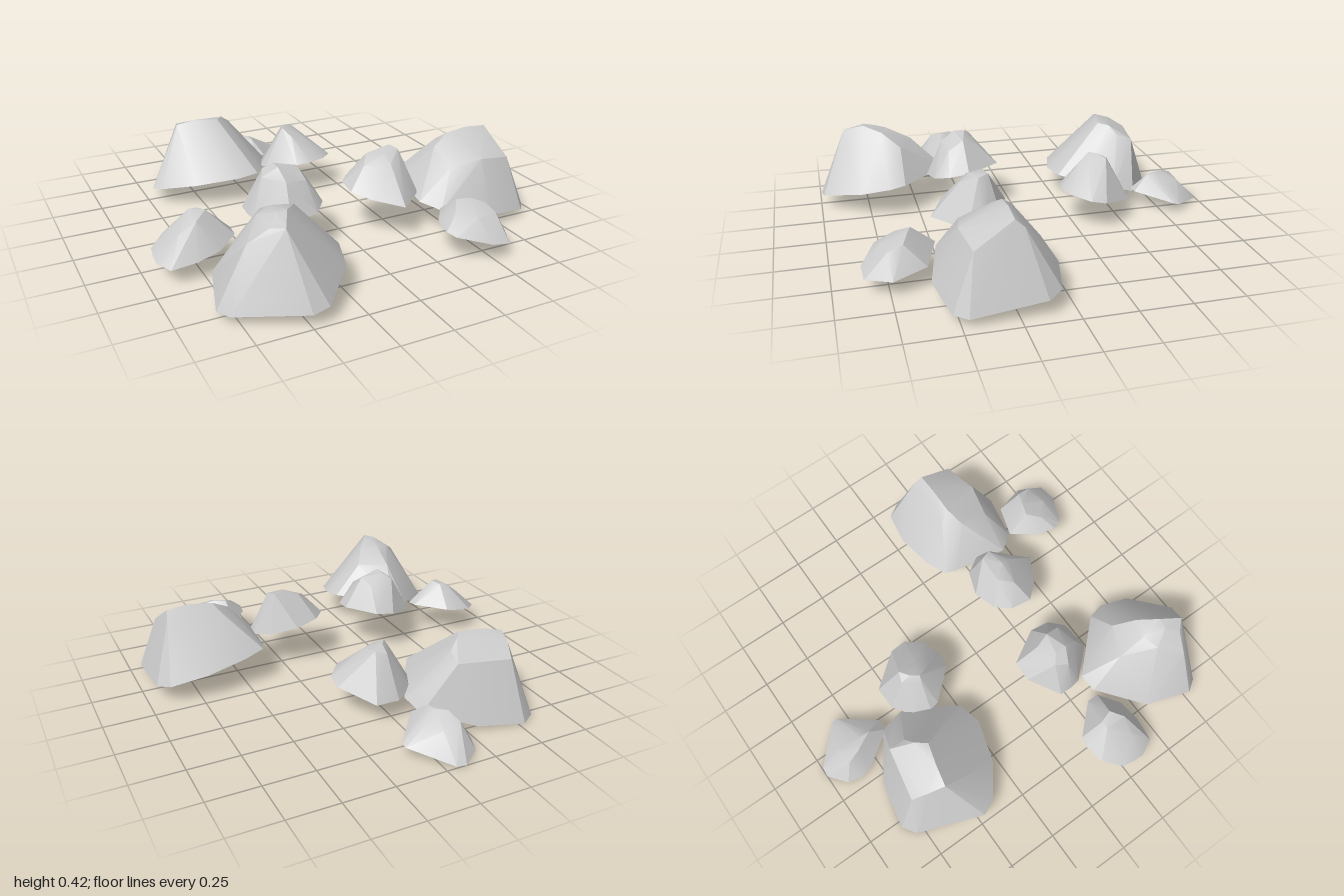
import * as THREE from 'three';
import { ConvexGeometry } from 'three/addons/geometries/ConvexGeometry.js';
import { toCreasedNormals } from 'three/addons/utils/BufferGeometryUtils.js';

// Hollow boulder: a hull over a rim [x, z] on a tilted plane and crown points [x, y, z],
// with the underside left open
function makeRock(name, slope, height, rim, crown) {
  const [bx, bz] = slope;
  const points = rim.map(([x, z]) => new THREE.Vector3(x, height + bx * x + bz * z, z));
  crown.forEach((p) => points.push(new THREE.Vector3(...p)));
  const hull = new ConvexGeometry(points).getAttribute('position');

  const kept = [];
  const tri = new THREE.Triangle();
  const normal = new THREE.Vector3();
  for (let i = 0; i < hull.count; i += 3) {
    tri.setFromAttributeAndIndices(hull, i, i + 1, i + 2);
    tri.getNormal(normal);
    if (normal.y < -0.5) continue; // open underside
    kept.push(...tri.a.toArray(), ...tri.b.toArray(), ...tri.c.toArray());
  }
  const open = new THREE.BufferGeometry();
  open.setAttribute('position', new THREE.Float32BufferAttribute(kept, 3));

  const material = new THREE.MeshStandardMaterial({ color: 0xcccccc, side: THREE.DoubleSide });
  const mesh = new THREE.Mesh(toCreasedNormals(open, 0.45), material);
  mesh.name = name;
  return mesh;
}

export function createModel() {
  const model = new THREE.Group();
  model.name = 'rockClusters';

  // Each cluster shares one ground slope
  function cluster(name, slope) {
    const group = new THREE.Group();
    group.name = name;
    model.add(group);
    return (rock, height, rim, crown) => group.add(makeRock(rock, slope, height, rim, crown));
  }

  // Left cluster (+x)
  const left = cluster('leftCluster', [-0.18, -0.12]);
  left('leftLargeRock', 0.267,
    [[0.39, 0.15], [0.41, 0.09], [0.52, 0.05], [0.72, 0.025], [0.9, 0.06], [0.95, 0.13],
      [0.95, 0.47], [0.9, 0.53], [0.67, 0.58], [0.42, 0.52], [0.35, 0.43]],
    [[0.61, 0.41, 0.25], [0.72, 0.425, 0.25], [0.84, 0.415, 0.25], [0.52, 0.3, 0.43],
      [0.68, 0.33, 0.46], [0.86, 0.3, 0.43], [0.52, 0.36, 0.28], [0.58, 0.37, 0.2], [0.85, 0.38, 0.21]]);
  left('leftInnerRock', 0.283,
    [[0.01, 0.35], [0.02, 0.24], [0.08, 0.17], [0.2, 0.14], [0.33, 0.19], [0.39, 0.28],
      [0.38, 0.36], [0.22, 0.51], [0.08, 0.43]],
    [[0.15, 0.375, 0.24], [0.28, 0.4, 0.24], [0.3, 0.39, 0.29], [0.22, 0.35, 0.36],
      [0.1, 0.34, 0.31], [0.21, 0.385, 0.31]]);
  left('leftFrontRock', 0.282,
    [[0.3, 0.74], [0.32, 0.64], [0.41, 0.52], [0.58, 0.58], [0.63, 0.74], [0.57, 0.86],
      [0.47, 0.865], [0.32, 0.79]],
    [[0.42, 0.235, 0.63], [0.48, 0.24, 0.65], [0.55, 0.215, 0.68], [0.56, 0.19, 0.75],
      [0.45, 0.19, 0.77], [0.37, 0.2, 0.7]]);

  // Front cluster
  const front = cluster('frontCluster', [0.158, -0.143]);
  front('frontLargeRock', 0.286,
    [[-0.83, 0.77], [-0.76, 0.53], [-0.55, 0.34], [-0.46, 0.33], [-0.23, 0.57], [-0.21, 0.65],
      [-0.25, 0.8], [-0.42, 0.985], [-0.5, 0.995], [-0.79, 0.83]],
    [[-0.55, 0.395, 0.85], [-0.5, 0.425, 0.75], [-0.55, 0.42, 0.74], [-0.43, 0.4, 0.66],
      [-0.52, 0.4, 0.63], [-0.6, 0.385, 0.66], [-0.69, 0.32, 0.77], [-0.6, 0.385, 0.8],
      [-0.37, 0.33, 0.57], [-0.52, 0.33, 0.5]]);
  front('frontOuterRock', 0.286,
    [[-0.95, 0.29], [-0.94, 0.23], [-0.86, 0.15], [-0.76, 0.13], [-0.71, 0.14], [-0.58, 0.28],
      [-0.58, 0.34], [-0.68, 0.42], [-0.79, 0.44], [-0.91, 0.43], [-0.95, 0.35]],
    [[-0.76, 0.265, 0.24], [-0.7, 0.275, 0.3], [-0.76, 0.25, 0.35], [-0.84, 0.2, 0.34],
      [-0.84, 0.2, 0.26], [-0.72, 0.265, 0.24]]);
  front('frontInnerRock', 0.296,
    [[-0.48, 0.25], [-0.48, 0.18], [-0.33, 0.08], [-0.23, 0.08], [-0.13, 0.25], [-0.14, 0.35],
      [-0.2, 0.42], [-0.34, 0.44], [-0.47, 0.3]],
    [[-0.34, 0.41, 0.29], [-0.34, 0.41, 0.23], [-0.23, 0.39, 0.26], [-0.25, 0.36, 0.19],
      [-0.38, 0.38, 0.2], [-0.41, 0.36, 0.26], [-0.33, 0.36, 0.36], [-0.22, 0.34, 0.34]]);

  // Back cluster
  const back = cluster('backCluster', [0.05, 0.227]);
  back('backLargeRock', 0.219,
    [[-0.73, -0.47], [-0.6, -0.79], [-0.53, -0.835], [-0.3, -0.79], [-0.08, -0.64], [-0.06, -0.52],
      [-0.15, -0.36], [-0.22, -0.26], [-0.34, -0.23], [-0.55, -0.29], [-0.7, -0.4]],
    [[-0.55, 0.37, -0.57], [-0.34, 0.385, -0.52], [-0.3, 0.38, -0.57], [-0.24, 0.31, -0.68],
      [-0.5, 0.3, -0.73], [-0.53, 0.35, -0.65], [-0.45, 0.39, -0.55], [-0.25, 0.34, -0.6]]);
  back('backInnerRock', 0.227,
    [[-0.15, -0.39], [-0.12, -0.47], [-0.02, -0.54], [0.1, -0.545], [0.22, -0.38], [0.22, -0.3],
      [0.15, -0.22], [0.06, -0.19], [-0.02, -0.2], [-0.14, -0.34]],
    [[-0.03, 0.34, -0.36], [0, 0.34, -0.4], [0.05, 0.325, -0.43], [0, 0.31, -0.45],
      [0.06, 0.3, -0.33], [-0.06, 0.29, -0.37], [0.1, 0.27, -0.38], [0, 0.3, -0.3]]);
  back('backOuterRock', 0.234,
    [[-0.21, -0.86], [-0.19, -0.93], [-0.1, -1], [-0.05, -0.995], [0.11, -0.83], [0.11, -0.8],
      [-0.03, -0.63], [-0.09, -0.63], [-0.2, -0.8]],
    [[-0.12, 0.165, -0.8], [-0.07, 0.165, -0.76], [-0.02, 0.13, -0.8], [-0.05, 0.12, -0.88],
      [-0.14, 0.14, -0.87], [-0.07, 0.16, -0.71]]);

  return model;
}
